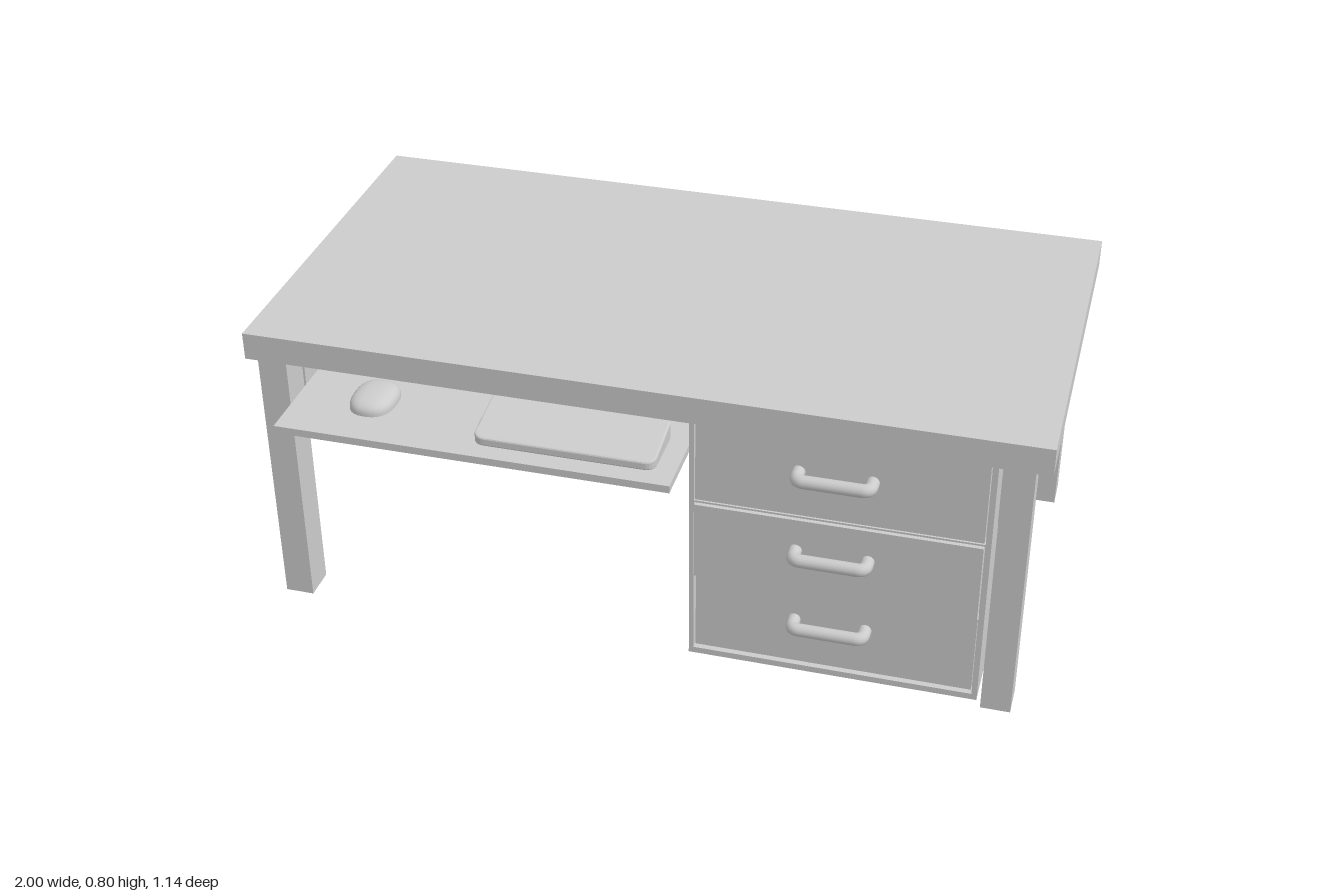
import * as THREE from 'three';

const material = new THREE.MeshStandardMaterial({ color: 0xcccccc, side: THREE.DoubleSide });

export function createModel() {
  const desk = new THREE.Group();
  desk.name = 'desk';

  const add = (name, geometry, parent = desk) => {
    const mesh = new THREE.Mesh(geometry, material);
    mesh.name = name;
    parent.add(mesh);
    return mesh;
  };
  // Box given by its minimum and maximum on each axis
  const box = (name, x0, x1, y0, y1, z0, z1, parent) => {
    const mesh = add(name, new THREE.BoxGeometry(x1 - x0, y1 - y0, z1 - z0), parent);
    mesh.position.set((x0 + x1) / 2, (y0 + y1) / 2, (z0 + z1) / 2);
    return mesh;
  };

  // Top, legs and aprons
  box('tabletop', -1, 1, 0.725, 0.797, -0.57, 0.465);
  for (const [side, x] of [['right', -0.97], ['left', 0.885]]) {
    box(side + 'FrontLeg', x, x + 0.075, 0.006, 0.725, 0.37, 0.457);
    box(side + 'BackLeg', x, x + 0.075, 0.006, 0.725, -0.56, -0.475);
  }
  box('rightApron', -0.93, -0.89, 0.5, 0.725, -0.475, 0.37);
  box('leftApron', 0.877, 0.922, 0.5, 0.725, -0.475, 0.37);
  box('backApron', -0.895, 0.885, 0.5, 0.725, -0.522, -0.48);

  // Drawer cabinet: a solid core with a front frame around the drawers
  const cabinet = new THREE.Group();
  cabinet.name = 'drawerCabinet';
  desk.add(cabinet);
  box('cabinetBody', 0.13, 0.872, 0, 0.72, -0.5, 0.395, cabinet);
  const frame = new THREE.Shape();
  frame.moveTo(0.13, 0).lineTo(0.872, 0).lineTo(0.872, 0.72).lineTo(0.13, 0.72).closePath();
  const drawers = [[0.02, 0.243, 0.413], [0.254, 0.468, 0.432], [0.479, 0.704, 0.424]];
  for (const [y0, y1] of drawers) {
    const hole = new THREE.Path();
    hole.moveTo(0.142, y0 - 0.003).lineTo(0.142, y1 + 0.003)
      .lineTo(0.858, y1 + 0.003).lineTo(0.858, y0 - 0.003).closePath();
    frame.holes.push(hole);
  }
  add('cabinetFrame', new THREE.ExtrudeGeometry(frame, { depth: 0.03, bevelEnabled: false }), cabinet)
    .position.z = 0.395;

  // Drawer fronts, each with a bowed bar handle
  const bar = new THREE.CurvePath();
  const v = (x, z) => new THREE.Vector3(x, 0, z);
  bar.add(new THREE.LineCurve3(v(-0.09, -0.01), v(-0.09, 0.02)));
  bar.add(new THREE.QuadraticBezierCurve3(v(-0.09, 0.02), v(-0.09, 0.041), v(-0.07, 0.041)));
  bar.add(new THREE.LineCurve3(v(-0.07, 0.041), v(0.07, 0.041)));
  bar.add(new THREE.QuadraticBezierCurve3(v(0.07, 0.041), v(0.09, 0.041), v(0.09, 0.02)));
  bar.add(new THREE.LineCurve3(v(0.09, 0.02), v(0.09, -0.01)));
  const handleGeometry = new THREE.TubeGeometry(bar, 60, 0.017, 14);
  drawers.forEach(([y0, y1, z], i) => {
    const drawer = new THREE.Group();
    drawer.name = 'drawer' + (i + 1);
    cabinet.add(drawer);
    box('drawerFront', 0.145, 0.855, y0, y1, 0.39, z, drawer);
    add('drawerHandle', handleGeometry, drawer).position.set(0.49, 0.152 + i * 0.227, z);
  });

  // Pulled-out keyboard tray
  box('keyboardTray', -0.89, 0.12, 0.59, 0.61, -0.27, 0.57);

  // Keyboard: rounded slab whose top rises toward the back
  const w = 0.225, d = 0.08, r = 0.025;
  const slab = new THREE.Shape();
  slab.moveTo(-w + r, -d).lineTo(w - r, -d).quadraticCurveTo(w, -d, w, -d + r)
    .lineTo(w, d - r).quadraticCurveTo(w, d, w - r, d)
    .lineTo(-w + r, d).quadraticCurveTo(-w, d, -w, d - r)
    .lineTo(-w, -d + r).quadraticCurveTo(-w, -d, -w + r, -d);
  const keyboard = new THREE.ExtrudeGeometry(slab, {
    depth: 0.016, bevelThickness: 0.004, bevelSize: 0.005, bevelSegments: 2, curveSegments: 6,
  });
  keyboard.rotateX(-Math.PI / 2);
  const p = keyboard.attributes.position;
  for (let i = 0; i < p.count; i++) {
    if (p.getY(i) > 0.01) p.setY(i, p.getY(i) + 0.17 * (d - p.getZ(i)));
  }
  keyboard.computeVertexNormals();
  add('keyboard', keyboard).position.set(-0.16, 0.614, 0.437);

  // Mouse: low dome with a squarish outline, flat underneath
  const mouse = new THREE.SphereGeometry(1, 28, 14, 0, Math.PI * 2, 0, Math.PI / 2);
  const m = mouse.attributes.position;
  const soften = (t, k) => Math.sign(t) * Math.pow(Math.abs(t), k);
  for (let i = 0; i < m.count; i++) {
    m.setXYZ(i, 0.058 * soften(m.getX(i), 0.8), 0.036 * Math.pow(Math.max(m.getY(i), 0), 0.7),
      0.075 * soften(m.getZ(i), 0.8));
  }
  mouse.computeVertexNormals();
  add('mouse', mouse).position.set(-0.69, 0.61, 0.398);

  return desk;
}
